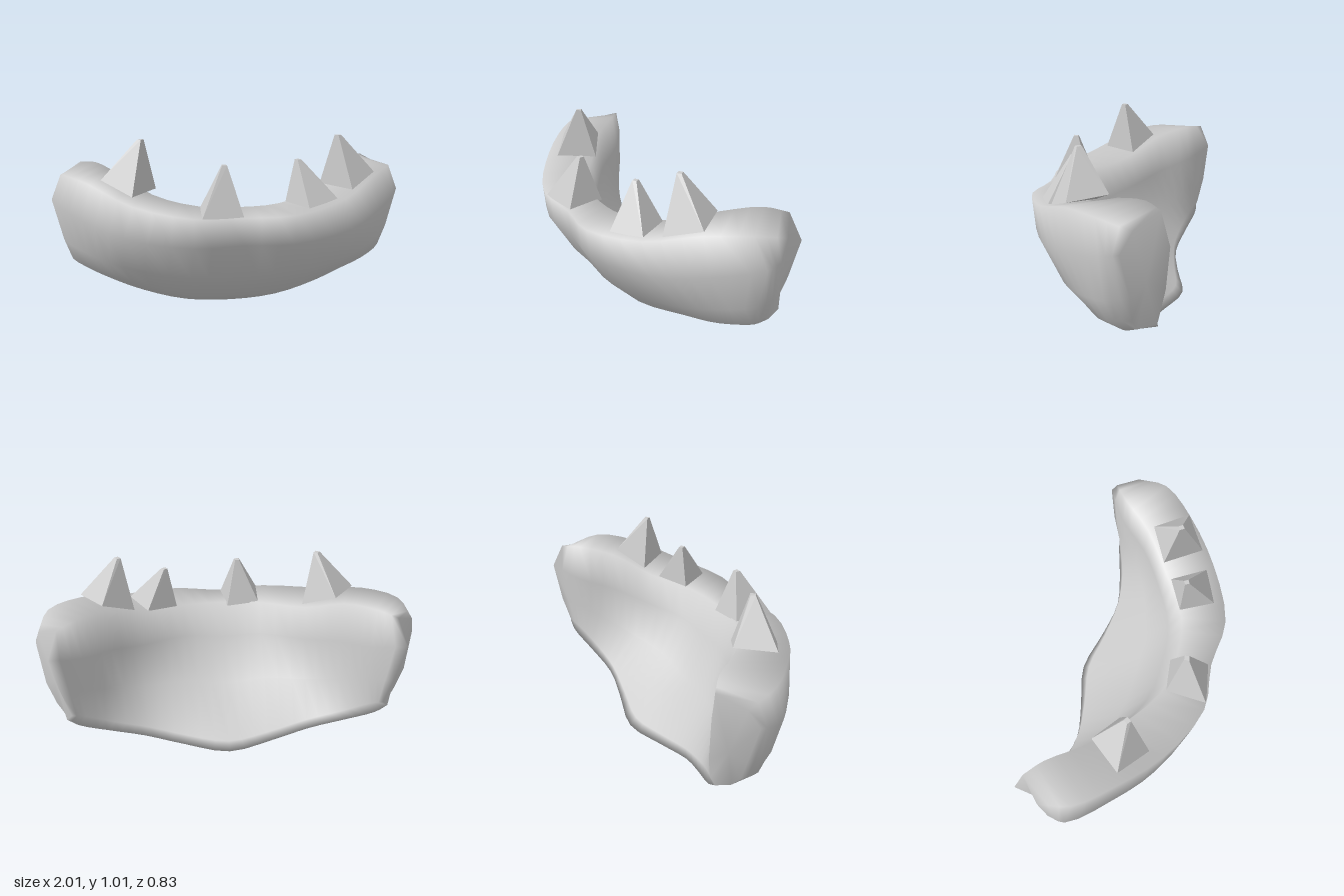
import * as THREE from 'three';
import { ConvexGeometry } from 'three/addons/geometries/ConvexGeometry.js';

const material = (flat) => new THREE.MeshStandardMaterial({ color: 0xcccccc, flatShading: flat });

// A rail runs along the jaw; it is given from the middle to the left end and mirrored
function rail(...points) {
  const half = points.map((p) => new THREE.Vector3(...p));
  const mirrored = half.slice(1).reverse().map((p) => new THREE.Vector3(-p.x, p.y, p.z));
  return new THREE.CatmullRomCurve3([...mirrored, ...half]);
}

// Rails in order around the cross-section
const innerTop = rail([0, .66, .2], [.22, .665, .17], [.45, .7, .02], [.63, .79, -.13], [.76, .83, -.29], [.85, .82, -.37]);
const outerTop = rail([0, .65, .39], [.26, .66, .41], [.56, .7, .27], [.78, .78, .08], [.93, .8, -.1], [.96, .76, -.27]);
const upperFront = rail([0, .5, .375], [.26, .5, .39], [.61, .52, .24], [.83, .58, .06], [1, .65, -.13], [.99, .66, -.22]);
const lowerFront = rail([0, .3, .27], [.27, .3, .27], [.62, .33, .14], [.82, .38, .01], [.95, .42, -.14], [.96, .45, -.26]);
const chin = rail([0, .13, .12], [.27, .14, .11], [.58, .2, .01], [.78, .25, -.06], [.91, .3, -.15], [.92, .32, -.26]);
const bottom = rail([0, 0, -.13], [.27, .02, -.13], [.52, .09, -.14], [.72, .17, -.17], [.85, .23, -.22], [.88, .26, -.28]);
const lip = rail([0, .03, -.38], [.25, .05, -.32], [.46, .09, -.28], [.66, .17, -.32], [.8, .24, -.36], [.86, .28, -.36]);
const lipTop = rail([0, .07, -.34], [.22, .09, -.3], [.44, .14, -.27], [.62, .2, -.29], [.76, .28, -.34], [.83, .31, -.37]);
const innerLow = rail([0, .25, -.03], [.23, .28, -.04], [.45, .3, -.1], [.62, .36, -.2], [.75, .43, -.32], [.86, .46, -.4]);
const innerHigh = rail([0, .48, .12], [.22, .5, .1], [.45, .52, -.02], [.62, .57, -.15], [.75, .62, -.31], [.9, .68, -.42]);

// Skin the rails and close both ends with a fan
function jawGeometry(rails, segments) {
  const n = rails.length, positions = [], index = [];
  for (let i = 0; i <= segments; i++) {
    for (const r of rails) positions.push(...r.getPoint(i / segments).toArray());
  }
  for (let i = 0; i < segments; i++) {
    for (let j = 0; j < n; j++) {
      const k = (j + 1) % n;
      const a = i * n + j, d = i * n + k, b = a + n, c = d + n;
      index.push(a, d, c, a, c, b);
    }
  }
  for (const end of [0, 1]) {
    const center = new THREE.Vector3();
    for (const r of rails) center.addScaledVector(r.getPoint(end), 1 / n);
    const m = positions.length / 3;
    positions.push(...center.toArray());
    for (let j = 0; j < n; j++) {
      const a = end * segments * n + j, b = end * segments * n + (j + 1) % n;
      if (end) index.push(m, a, b);
      else index.push(m, b, a);
    }
  }
  const g = new THREE.BufferGeometry();
  g.setAttribute('position', new THREE.Float32BufferAttribute(positions, 3));
  g.setIndex(index);
  g.computeVertexNormals();
  return g;
}

// Four-sided tooth with a small blunt tip, leaning towards its apex
function tooth(name, apex, base) {
  const corners = base.map((p) => new THREE.Vector3(...p));
  const top = new THREE.Vector3(...apex);
  const center = new THREE.Vector3();
  corners.forEach((c) => center.addScaledVector(c, .25));
  const tip = corners.map((c) => {
    const offset = c.clone().sub(center).multiplyScalar(.12);
    return top.clone().add(offset.setY(0));
  });
  const mesh = new THREE.Mesh(new ConvexGeometry([...corners, ...tip]), material(true));
  mesh.name = name;
  return mesh;
}

export function createModel() {
  const model = new THREE.Group();
  model.name = 'lowerJaw';

  const gum = new THREE.Mesh(jawGeometry([innerTop, outerTop, upperFront, lowerFront, chin,
    bottom, lip, lipTop, innerLow, innerHigh], 30), material(false));
  gum.name = 'jaw';
  model.add(gum);

  // Large back teeth, the right one set a little nearer the middle
  const backBase = [[.49, .73, 0], [.65, .81, -.1], [.78, .8, .07], [.62, .73, .19]];
  model.add(tooth('leftBackTooth', [.565, 1.01, .065], backBase));
  model.add(tooth('rightBackTooth', [-.505, 1.01, .065], backBase.map(([x, y, z]) => [.06 - x, y, z])));

  // Smaller front teeth
  model.add(tooth('leftFrontTooth', [.32, .9, .16],
    [[.26, .67, .15], [.42, .69, .06], [.53, .69, .24], [.35, .66, .33]]));
  model.add(tooth('middleTooth', [-.09, .9, .26],
    [[-.21, .66, .19], [-.03, .65, .17], [0, .635, .38], [-.22, .66, .41]]));
  return model;
}
